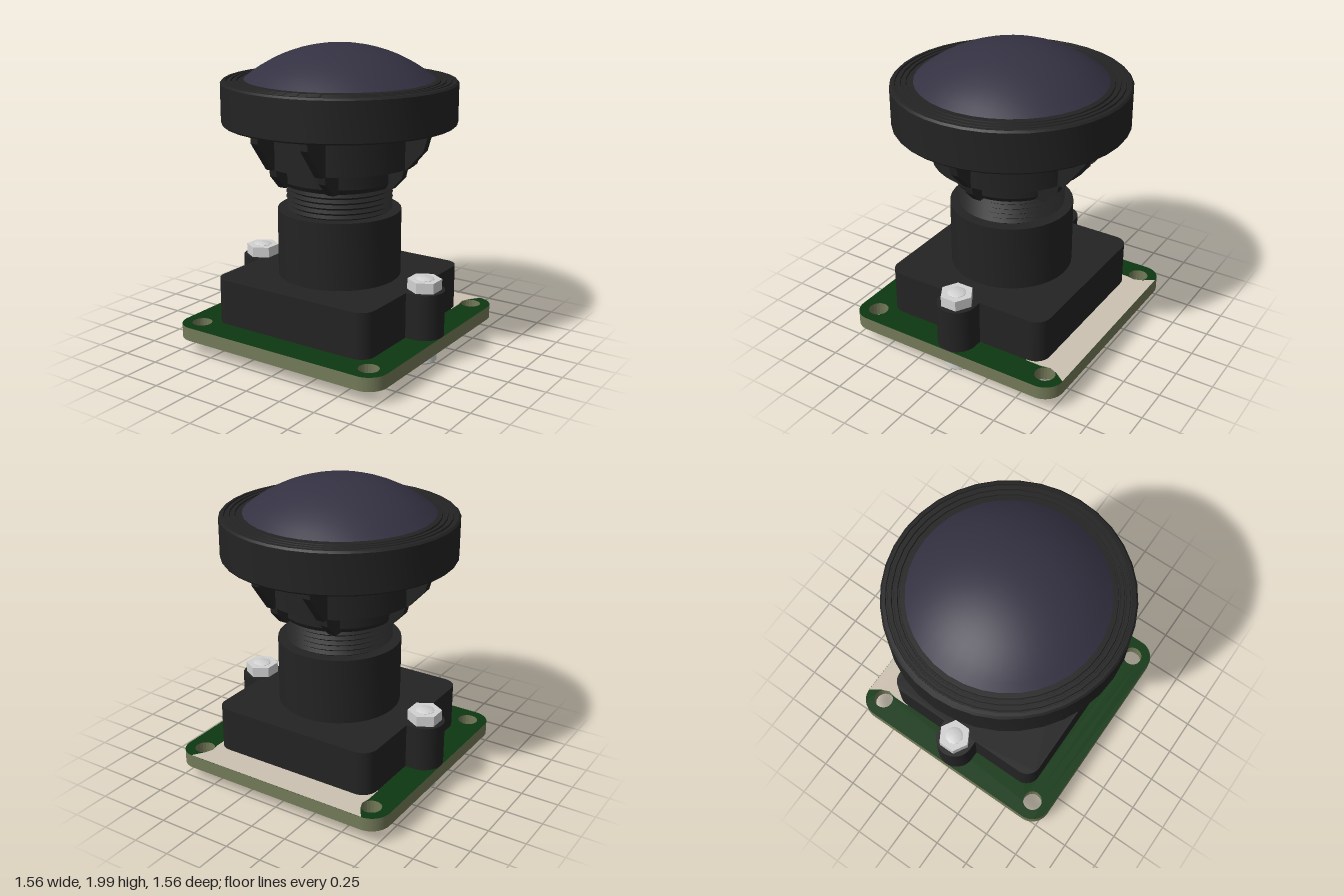
import * as THREE from 'three';
import { toCreasedNormals, mergeGeometries } from 'three/addons/utils/BufferGeometryUtils.js';

const mat = (name, color) => new THREE.MeshStandardMaterial({ name, color });

export function createModel() {
  const model = new THREE.Group();
  const black = mat('black plastic', 0x232323);
  const glass = mat('lens glass', 0x343142);
  const green = mat('board green', 0x0d3811);
  const olive = mat('board edge', 0x737a58);
  const tan = mat('bare laminate', 0xcdc2b2);
  const metal = mat('metal', 0xd2d2d2);
  const ceramic = mat('ceramic brown', 0x9c7a50);
  const copper = mat('dark copper', 0x4a3a1c);

  const add = (name, geo, material, x = 0, y = 0, z = 0) => {
    const mesh = new THREE.Mesh(geo, material);
    mesh.name = name;
    mesh.position.set(x, y, z);
    model.add(mesh);
    return mesh;
  };
  const lathe = (pts, sides = 36) => toCreasedNormals(
    new THREE.LatheGeometry(pts.map(p => new THREE.Vector2(...p)), sides), 0.5);
  const box = (w, h, d, x = 0, y = 0, z = 0) => new THREE.BoxGeometry(w, h, d).translate(x, y, z);
  // Extrudes a plan outline upwards
  const slab = (shape, height) => new THREE.ExtrudeGeometry(shape,
    { depth: height, bevelEnabled: false, curveSegments: 10 }).rotateX(-Math.PI / 2);

  // Circuit board with rounded corners and four mounting holes
  const B = 0.78, R = 0.13, H = 0.65;
  const board = new THREE.Shape();
  [[1, -1], [1, 1], [-1, 1], [-1, -1]].forEach(([sx, sy], i) => {
    board.absarc(sx * (B - R), sy * (B - R), R, (i - 1) * Math.PI / 2, i * Math.PI / 2);
    board.holes.push(new THREE.Path().absarc(sx * H, sy * H, 0.066, 0, Math.PI * 2));
  });
  board.closePath();
  add('circuitBoard', slab(board, 0.09), [green, olive], 0, 0.1, 0);

  // Bare strip along the back edge
  const strip = [[0.655, 0.778], [0.605, 0.705], [0.583, 0.65], [0.595, 0.59], [0.595, 0.48]];
  const outline = [...strip, ...strip.map(([x, y]) => [-x, y]).reverse()];
  add('bareStrip', slab(new THREE.Shape(outline.map(p => new THREE.Vector2(...p))), 0.003), tan, 0, 0.19, 0);

  // Lens mount: rounded block with a screw ear on each side
  const W = 0.59, r = 0.1, q = Math.PI / 2;
  const mount = new THREE.Shape();
  mount.absarc(W - r, -W + r, r, -q, 0);
  mount.lineTo(W, -R);
  mount.absarc(H, 0, R, -q, q);
  mount.lineTo(W, R);
  mount.absarc(W - r, W - r, r, 0, q);
  mount.absarc(-W + r, W - r, r, q, 2 * q);
  mount.lineTo(-W, R);
  mount.absarc(-H, 0, R, q, 3 * q);
  mount.lineTo(-W, -R);
  mount.absarc(-W + r, -W + r, r, 2 * q, 3 * q);
  mount.closePath();
  add('lensMount', toCreasedNormals(slab(mount, 0.3), 0.5), black, 0, 0.19, 0);
  add('barrel', lathe([[0.3, 0.48], [0.405, 0.48], [0.405, 0.93], [0, 0.93]]), black);

  // Lens thread
  const thread = [];
  for (let i = 0; i < 6; i++) thread.push([0.322, 0.925 + i * 0.034], [0.348, 0.942 + i * 0.034]);
  add('lensThread', lathe([...thread, [0.322, 1.13]]), black);

  // Lens head: two collars, then a wide cap hollow underneath, with ridges on top
  const head = [[0, 1.11], [0.37, 1.11], [0.39, 1.14], [0.39, 1.25], [0.51, 1.25], [0.51, 1.58],
    [0.68, 1.58], [0.68, 1.5], [0.75, 1.5], [0.757, 1.51], [0.757, 1.76], [0.745, 1.772]];
  for (let x = 0.725; x > 0.62; x -= 0.035) {
    head.push([x, 1.774], [x - 0.003, 1.764], [x - 0.012, 1.764], [x - 0.015, 1.774]);
  }
  add('lensHead', lathe([...head, [0.6, 1.776], [0, 1.776]]), black);

  // Domed front lens
  const sphereR = 0.956, dome = [];
  for (let i = 0; i <= 10; i++) {
    const a = Math.asin(0.61 / sphereR) * (1 - i / 10);
    dome.push([Math.sin(a) * sphereR, 2 - sphereR + Math.cos(a) * sphereR]);
  }
  add('frontLens', lathe(dome), glass);

  // Stiffening ribs below the cap
  const rib = (profile, x, turn) => {
    const shape = new THREE.Shape(profile.map(p => new THREE.Vector2(...p)));
    const geo = new THREE.ExtrudeGeometry(shape, { depth: 0.054, bevelEnabled: false });
    geo.translate(0, 0, -0.027).rotateY(turn);
    add('rib', geo, black, x);
  };
  const sideRib = [[0.3, 1.112], [0.41, 1.112], [0.485, 1.19], [0.5, 1.25], [0.515, 1.25],
    [0.635, 1.38], [0.67, 1.5], [0.67, 1.58], [0.3, 1.58]];
  const endRib = [[0.3, 1.112], [0.375, 1.112], [0.46, 1.2], [0.47, 1.25], [0.5, 1.25],
    [0.645, 1.44], [0.65, 1.58], [0.3, 1.58]];
  for (const s of [1, -1]) {
    rib(sideRib, 0, s > 0 ? 0 : Math.PI);
    for (const x of [-0.185, 0.185]) rib(endRib, x, s * q);
  }

  // Screws through the ears, with hex nuts on top and socket heads below
  for (const s of [1, -1]) {
    const nut = new THREE.CylinderGeometry(0.11, 0.11, 0.07, 6).toNonIndexed();
    nut.computeVertexNormals();
    add('hexNut', nut, metal, s * H, 0.525, 0);
    add('screwTip', lathe([[0.06, 0.55], [0.06, 0.562], [0.045, 0.57], [0, 0.57]], 16), metal, s * H);
    add('screwHead', lathe([[0, 0.05], [0.042, 0.05], [0.045, 0.008], [0.076, 0.008], [0.087, 0.02],
      [0.087, 0.1]], 24), metal, s * H);
  }

  // Ribbon connector below the front edge, with its row of pins
  add('connector', box(0.8, 0.07, 0.09), black, 0, 0.065, 0.59);
  add('connectorLatch', box(0.74, 0.04, 0.04), black, 0, 0.08, 0.65);
  const pins = [];
  for (let i = 0; i < 30; i++) pins.push(box(0.011, 0.02, 0.05, -0.363 + i * 0.025, 0.09, 0.53));
  add('connectorPins', mergeGeometries(pins), metal);

  // Chips: x, z, width, depth, with legs on two sides
  const chips = [[0.51, -0.34, 0.17, 0.15], [-0.32, -0.62, 0.18, 0.15], [-0.63, -0.25, 0.13, 0.16],
    [-0.56, 0.28, 0.12, 0.16], [0.57, 0.34, 0.12, 0.16], [0.08, -0.58, 0.16, 0.1]];
  const legs = [];
  for (const [x, z, w, d] of chips) {
    add('chip', box(w, 0.06, d), black, x, 0.065, z);
    for (const s of [1, -1]) for (let i = -1; i <= 1; i++) {
      legs.push(box(0.025, 0.03, 0.02, x + i * w * 0.33, 0.085, z + s * (d / 2 + 0.008)));
    }
  }
  add('chipLegs', mergeGeometries(legs), metal);

  // Small components scattered below the board, each a body between metal ends
  let seed = 7;
  const rand = () => (seed = (seed * 16807) % 2147483647) / 2147483647;
  const bodies = [], dark = [], ends = [], spots = [];
  const used = chips.map(([x, z]) => [x, z, 0.14]);
  used.push([H, 0, 0.13], [-H, 0, 0.13]);
  for (let i = 0; i < 900 && spots.length < 95; i++) {
    const spread = i < 350 ? 0.36 : 0.66;
    const x = (rand() * 2 - 1) * spread, z = (rand() * 2 - 1) * spread;
    const inHole = Math.abs(x) > 0.52 && Math.abs(z) > 0.52;
    if (z > 0.46 || inHole || used.some(([a, b, c]) => Math.hypot(x - a, z - b) < c)) continue;
    used.push([x, z, 0.078]);
    spots.push([x, z]);
    const turn = rand() > 0.5 ? q : 0;
    const place = geo => geo.rotateY(turn).translate(x, 0.084, z);
    (rand() > 0.25 ? bodies : dark).push(place(box(0.032, 0.032, 0.034)));
    for (const s of [1, -1]) ends.push(place(box(0.016, 0.034, 0.036, s * 0.024)));
  }
  add('capacitors', mergeGeometries(bodies), ceramic);
  add('resistors', mergeGeometries(dark), black);
  add('componentEnds', mergeGeometries(ends), metal);

  // Round test pads
  for (const [x, z] of [[-0.1, -0.45], [0.3, -0.5], [0.4, 0.15], [-0.4, 0.1], [-0.45, -0.42], [0.3, 0.42]]) {
    add('testPad', new THREE.CylinderGeometry(0.025, 0.025, 0.004, 12), copper, x, 0.099, z);
  }
  return model;
}
